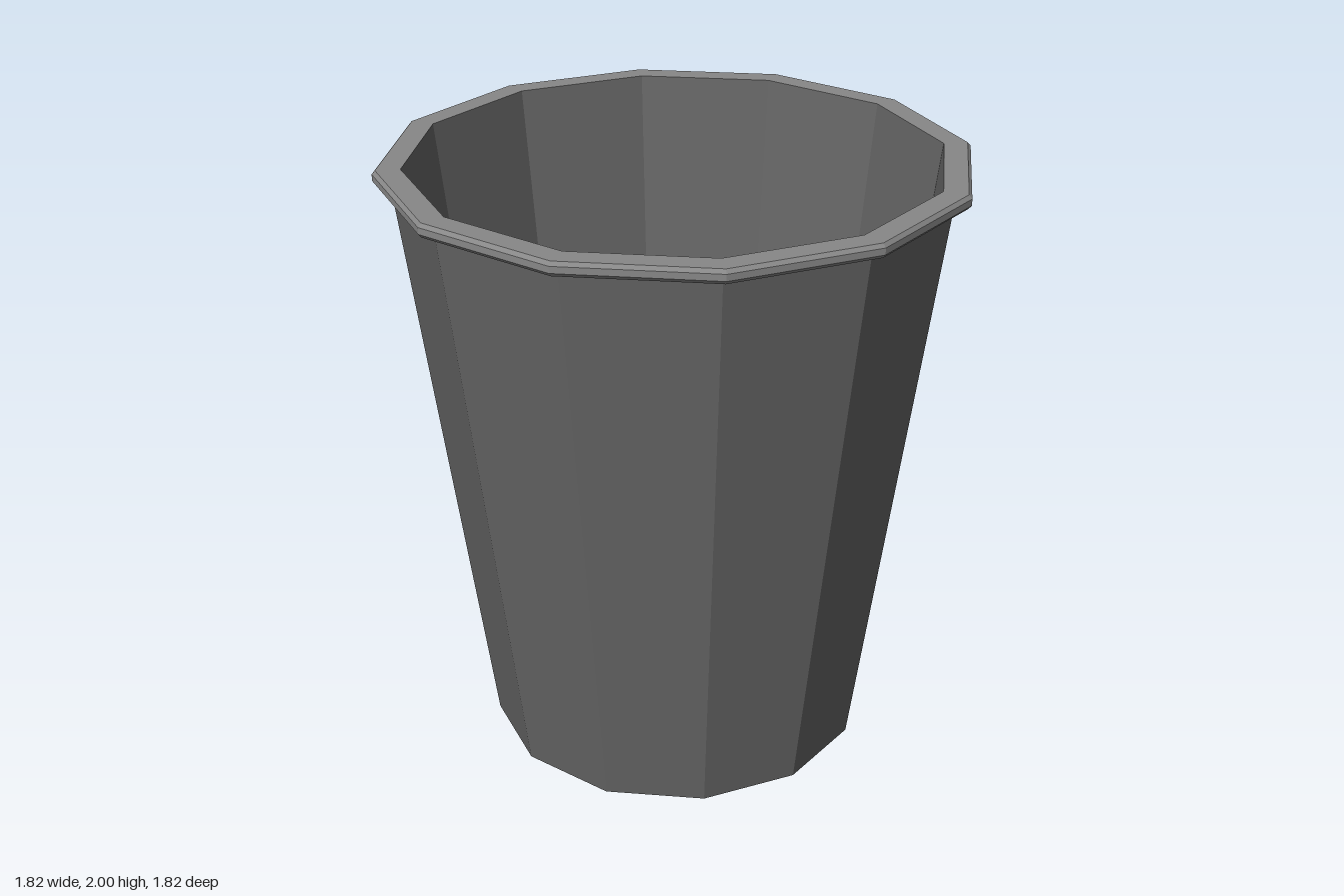
import * as THREE from 'three';

const SIDES = 12;

// Faceted ring from a profile of [distance to flat side, height]; upward runs face outward
function faceted(name, profile, material) {
  const toCorner = 1 / Math.cos(Math.PI / SIDES);
  const points = profile.map(([r, y]) => new THREE.Vector2(r * toCorner, y));
  const geometry = new THREE.LatheGeometry(points, SIDES, Math.PI / SIDES).toNonIndexed();
  geometry.computeVertexNormals();
  const mesh = new THREE.Mesh(geometry, material);
  mesh.name = name;
  return mesh;
}

export function createModel() {
  const bodyGrey = new THREE.MeshStandardMaterial({ color: 0x666666 });
  bodyGrey.name = 'body grey';
  const rimGrey = new THREE.MeshStandardMaterial({ color: 0x888888 });
  rimGrey.name = 'rim grey';

  const group = new THREE.Group();
  group.name = 'wasteBin';

  // Recessed underside and foot ring
  group.add(faceted('base', [[0, 0.06], [0.58, 0.06], [0.58, 0], [0.607, 0]], bodyGrey));
  // Tapered outer wall
  group.add(faceted('outerWall', [[0.607, 0], [0.86, 1.965]], bodyGrey));
  // Inner wall and floor
  group.add(faceted('inside', [[0.825, 2], [0.593, 0.08], [0, 0.08]], bodyGrey));
  // Bevelled lip
  group.add(faceted('rim', [
    [0.855, 1.955], [0.9, 1.955], [0.91, 1.967], [0.91, 1.988], [0.9, 2], [0.825, 2],
  ], rimGrey));

  return group;
}
